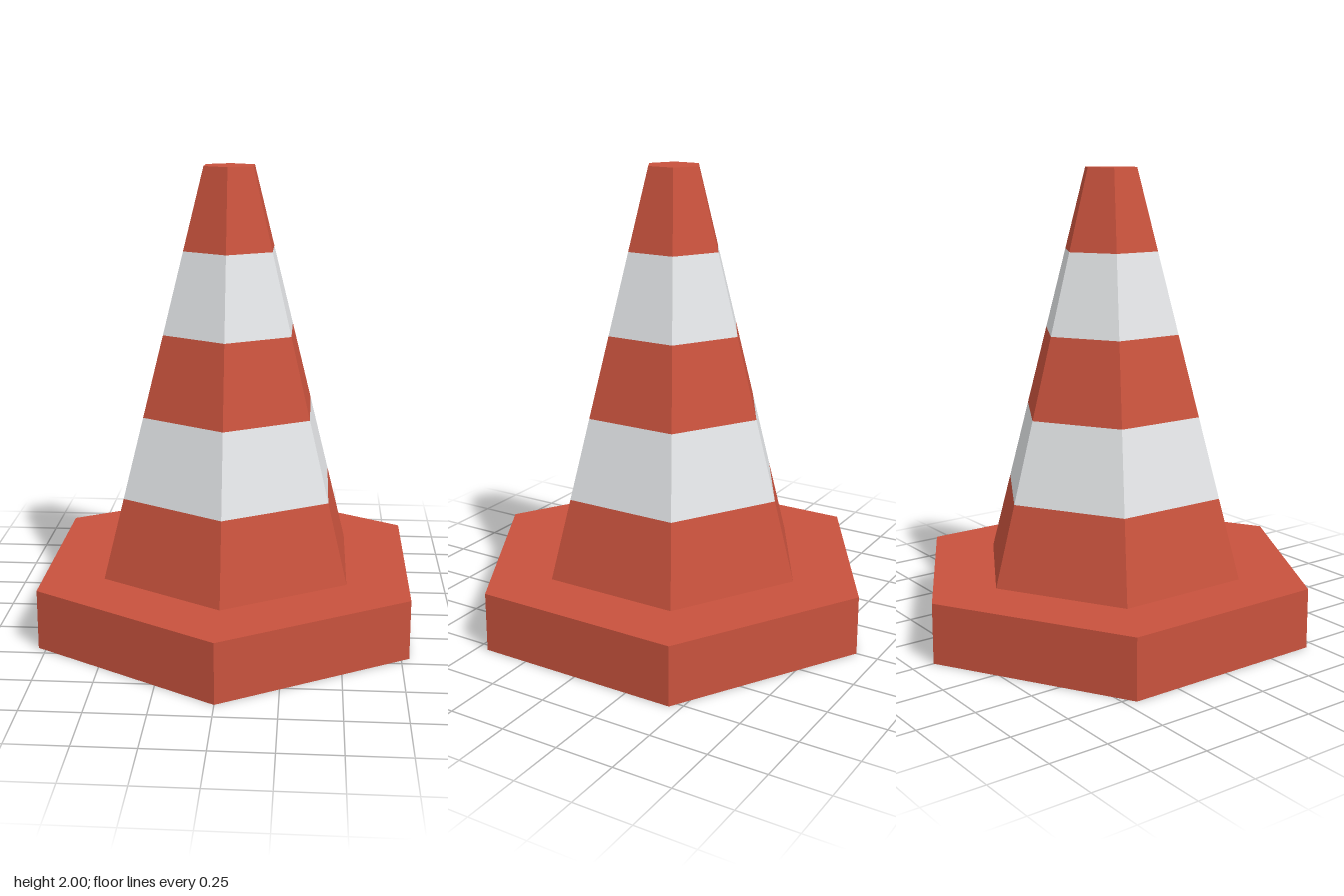
import * as THREE from 'three';

export function createModel() {
  const model = new THREE.Group();
  model.name = 'trafficCone';

  const red = new THREE.MeshStandardMaterial({ color: 0xc8523d, flatShading: true });
  red.name = 'cone red';
  const white = new THREE.MeshStandardMaterial({ color: 0xe6e8ea, flatShading: true });
  white.name = 'stripe white';

  const SIDES = 6, BASE_TOP = 0.26, HEIGHT = 2, BANDS = 5;
  const BOTTOM_RADIUS = 0.6, TOP_RADIUS = 0.12;

  // Hexagonal foot plate
  const base = new THREE.Mesh(new THREE.CylinderGeometry(0.905, 0.905, BASE_TOP, SIDES), red);
  base.name = 'base';
  base.position.y = BASE_TOP / 2;
  model.add(base);

  // Tapered body in alternating bands; only the last one needs a cap
  const bandHeight = (HEIGHT - BASE_TOP) / BANDS;
  const radiusAt = (i) => THREE.MathUtils.lerp(BOTTOM_RADIUS, TOP_RADIUS, i / BANDS);
  for (let i = 0; i < BANDS; i++) {
    const open = i < BANDS - 1;
    const geometry = new THREE.CylinderGeometry(radiusAt(i + 1), radiusAt(i), bandHeight, SIDES, 1, open);
    const band = new THREE.Mesh(geometry, i % 2 ? white : red);
    band.name = i % 2 ? `whiteStripe${i}` : `redBand${i}`;
    band.position.y = BASE_TOP + bandHeight * (i + 0.5);
    model.add(band);
  }

  return model;
}
